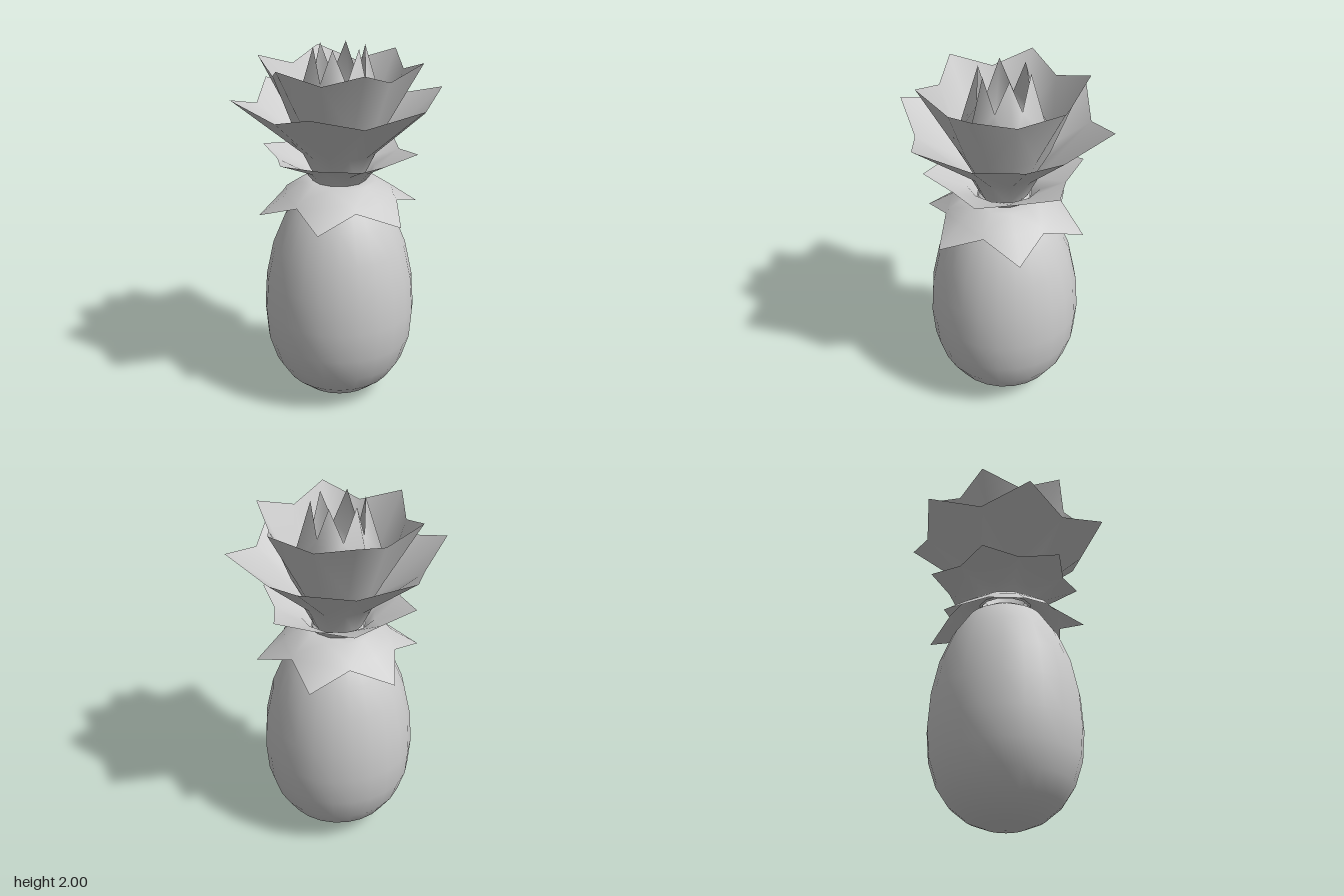
import * as THREE from 'three';

const SIDES = 12;

// One crown layer: round rings [radius, y], ending in a six-pointed rim.
// Even columns lie at 0, 60, ... degrees, odd columns at 30, 90, ...
function leafLayer({ name, rings, tip, valley, tipsOdd }) {
  const positions = [];
  const indices = [];
  const rows = rings.length + 1;
  for (let row = 0; row < rows; row++) {
    for (let i = 0; i < SIDES; i++) {
      const isTip = (i % 2 === 1) === tipsOdd;
      const [r, y] = row < rings.length ? rings[row] : isTip ? tip : valley;
      const a = (i / SIDES) * Math.PI * 2;
      positions.push(r * Math.cos(a), y, r * Math.sin(a));
    }
  }
  for (let row = 0; row < rows - 1; row++) {
    for (let i = 0; i < SIDES; i++) {
      const j = (i + 1) % SIDES;
      const a = row * SIDES + i, b = row * SIDES + j;
      const c = a + SIDES, d = b + SIDES;
      // split each panel symmetrically about the leaf tips
      if ((i % 2 === 1) === tipsOdd) indices.push(a, c, d, a, d, b);
      else indices.push(a, c, b, b, c, d);
    }
  }
  const geometry = new THREE.BufferGeometry();
  geometry.setAttribute('position', new THREE.Float32BufferAttribute(positions, 3));
  geometry.setIndex(indices);
  geometry.computeVertexNormals();
  const mesh = new THREE.Mesh(
    geometry,
    new THREE.MeshStandardMaterial({ color: 0xcccccc, side: THREE.DoubleSide })
  );
  mesh.name = name;
  return mesh;
}

export function createModel() {
  const group = new THREE.Group();
  group.name = 'pineapple';

  // Fruit body
  const profile = [
    [0, 0], [0.11, 0.015], [0.21, 0.055], [0.3, 0.13], [0.365, 0.23], [0.408, 0.365],
    [0.421, 0.53], [0.408, 0.72], [0.367, 0.91], [0.3, 1.07], [0.21, 1.2], [0.11, 1.26], [0, 1.28],
  ].map(([r, y]) => new THREE.Vector2(r, y));
  const body = new THREE.Mesh(
    new THREE.LatheGeometry(profile, 24),
    new THREE.MeshStandardMaterial({ color: 0xcccccc })
  );
  body.name = 'fruitBody';
  group.add(body);

  // Crown of leaves, from the drooping collar up to the central bud
  const layers = [
    { name: 'droopingLeaves', tipsOdd: false,
      rings: [[0.14, 1.28], [0.205, 1.278], [0.3, 1.215]], tip: [0.448, 1.11], valley: [0.32, 1.185] },
    { name: 'lowerLeaves', tipsOdd: true,
      rings: [[0.14, 1.27], [0.2, 1.345]], tip: [0.43, 1.445], valley: [0.34, 1.42] },
    { name: 'wideLeaves', tipsOdd: false,
      rings: [[0.13, 1.29], [0.2, 1.435]], tip: [0.58, 1.75], valley: [0.46, 1.67] },
    { name: 'upperLeaves', tipsOdd: true,
      rings: [[0.12, 1.33], [0.25, 1.58]], tip: [0.445, 1.93], valley: [0.355, 1.86] },
    { name: 'centreBud', tipsOdd: false,
      rings: [[0.1, 1.4], [0.245, 1.66]], tip: [0.14, 2.0], valley: [0.14, 1.82] },
  ];
  for (const layer of layers) group.add(leafLayer(layer));

  return group;
}
